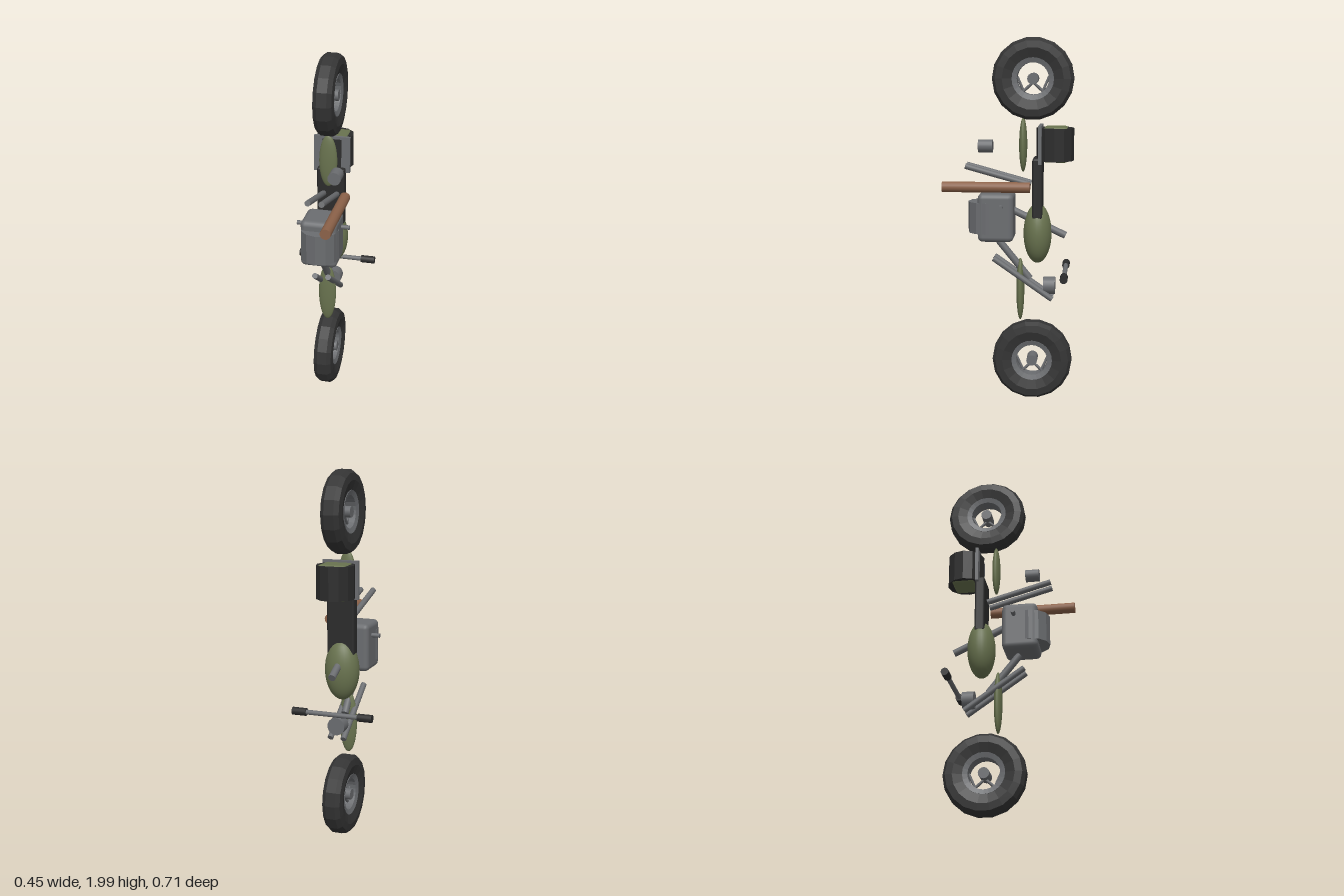
import * as THREE from 'three';
import { RoundedBoxGeometry } from 'three/addons/geometries/RoundedBoxGeometry.js';

const mat = (name, color, flatShading = false) => {
  const m = new THREE.MeshStandardMaterial({ color, flatShading });
  m.name = name;
  return m;
};

export function createModel() {
  const root = new THREE.Group();
  root.name = 'explodedMotorcycle';
  const tyreMat = mat('tyre rubber', 0x343434, true);
  const black = mat('black', 0x2c2c2c);
  const steel = mat('steel', 0x6b6d70);
  const steelFlat = mat('faceted steel', 0x6b6d70, true);
  const blackFlat = mat('faceted black', 0x2c2c2c, true);
  const green = mat('olive paint', 0x69734f);
  const brown = mat('copper brown', 0x8c6249);

  const add = (name, geometry, material, x = 0, y = 0, z = 0, parent = root) => {
    const m = new THREE.Mesh(geometry, material);
    m.name = name;
    m.position.set(x, y, z);
    parent.add(m);
    return m;
  };

  // Cylinder running between two points
  const rod = (name, a, b, r, material, parent = root, sides = 16) => {
    const p = new THREE.Vector3(...a), q = new THREE.Vector3(...b);
    const d = q.clone().sub(p);
    const mid = p.clone().add(q).multiplyScalar(0.5);
    const m = add(name, new THREE.CylinderGeometry(r, r, d.length(), sides), material, mid.x, mid.y, mid.z, parent);
    m.quaternion.setFromUnitVectors(new THREE.Vector3(0, 1, 0), d.normalize());
    return m;
  };

  const ellipsoid = (name, x, y, z, rx, ry, rz) =>
    add(name, new THREE.SphereGeometry(1, 28, 20).scale(rx, ry, rz), green, x, y, z);

  // Closed ring turned about the x axis
  const ring = (profile, sides) => new THREE.LatheGeometry(
    [...profile, profile[0]].map(([r, h]) => new THREE.Vector2(r, h)), sides).rotateZ(Math.PI / 2);

  // Wheels
  const tyreProfile = [[0.11, -0.04], [0.165, -0.055], [0.203, -0.05], [0.22, -0.027],
    [0.22, 0.027], [0.203, 0.05], [0.165, 0.055], [0.11, 0.04]];
  const rimProfile = [[0.086, -0.036], [0.113, -0.044], [0.113, 0.044], [0.086, 0.036]];
  const tyreGeo = ring(tyreProfile, 18);
  const rimGeo = ring(rimProfile, 24);
  for (const [name, y] of [['upperWheel', 1.78], ['lowerWheel', 0.227]]) {
    const wheel = new THREE.Group();
    wheel.name = name;
    wheel.position.set(0, y, -0.13);
    root.add(wheel);
    add('tyre', tyreGeo, tyreMat, 0, 0, 0, wheel);
    add('rim', rimGeo, steelFlat, 0, 0, 0, wheel);
    rod('hub', [-0.045, 0, 0], [0.045, 0, 0], 0.03, steel, wheel);
    for (const s of [-1, 1]) {
      rod('spoke', [0, -0.02, 0], [0, -0.07, s * 0.055], 0.008, steel, wheel, 8);
      rod('sideSpoke', [0, 0.01, s * 0.085], [0, -0.07, s * 0.05], 0.007, steel, wheel, 8);
    }
  }

  // Mudguards and fuel tank
  ellipsoid('upperMudguard', 0, 1.425, -0.077, 0.05, 0.147, 0.022);
  ellipsoid('lowerMudguard', 0, 0.625, -0.063, 0.05, 0.175, 0.022);
  ellipsoid('fuelTank', 0, 0.94, -0.157, 0.095, 0.165, 0.077);

  // Seat, rack and luggage
  add('seat', new RoundedBoxGeometry(0.155, 0.33, 0.055, 2, 0.012), black, 0, 1.192, -0.158);
  add('rack', new THREE.BoxGeometry(0.2, 0.205, 0.018), steel, 0, 1.43, -0.172);
  add('luggageShell', new THREE.CylinderGeometry(0.102, 0.102, 0.176, 12), blackFlat, 0, 1.43, -0.25);
  add('luggageCore', new RoundedBoxGeometry(0.155, 0.19, 0.135, 2, 0.02), green, 0, 1.43, -0.255);

  // Engine
  add('engineBlock', new RoundedBoxGeometry(0.2, 0.265, 0.195, 2, 0.028), steel, 0, 1.033, 0.067);
  add('engineBarrel', new THREE.CylinderGeometry(0.105, 0.105, 0.17, 12), steelFlat, 0, 1.03, 0.118);
  rod('footPegs', [-0.146, 1.097, 0.037], [0.146, 1.097, 0.037], 0.012, steel);

  // Paired tubes and grips
  for (const s of [-1, 1]) {
    rod('upperTube', [s * 0.037, 1.31, 0.235], [s * 0.037, 1.213, -0.12], 0.016, steel);
    rod('forkLeg', [s * 0.037, 0.802, 0.083], [s * 0.037, 0.578, -0.24], 0.016, steel);
    rod('grip', [s * 0.145, 0.73, -0.309], [s * 0.224, 0.73, -0.309], 0.021, black);
  }

  // Frame and handlebar
  rod('downTube', [0, 0.895, 0.055], [0, 0.685, -0.115], 0.02, steel);
  rod('topTube', [0, 1.068, -0.02], [0, 0.93, -0.31], 0.02, steel);
  rod('handlebar', [-0.2, 0.73, -0.309], [0.2, 0.73, -0.309], 0.013, steel);

  // Exhaust and lamps
  rod('exhaust', [0.085, 1.202, 0.355], [0.085, 1.202, -0.12], 0.029, brown);
  rod('exhaustCap', [0.085, 1.425, 0.157], [0.085, 1.425, 0.08], 0.035, steel, root, 20);
  rod('headlamp', [0, 0.648, -0.19], [0, 0.648, -0.255], 0.048, steel, root, 20);

  return root;
}
